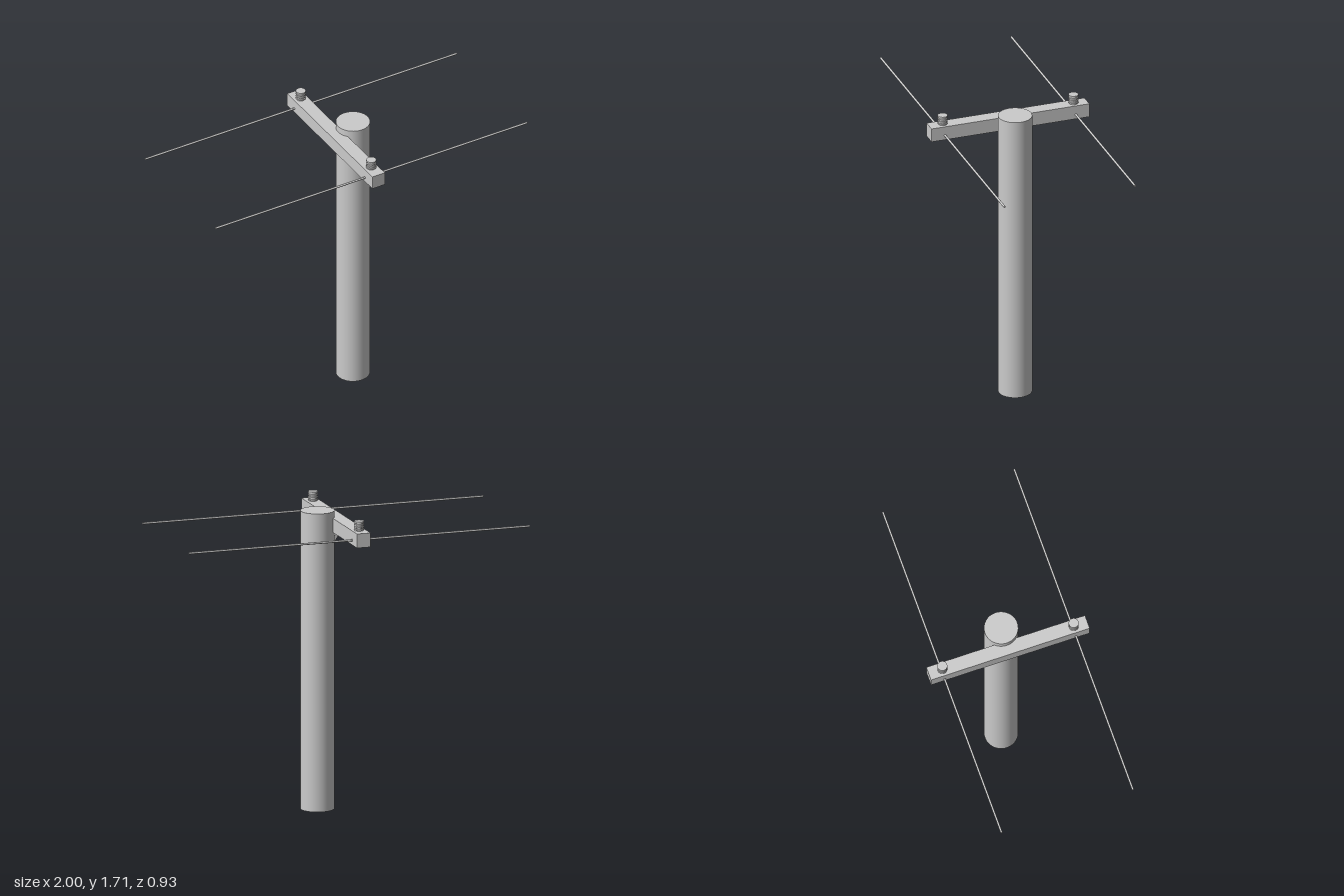
import * as THREE from 'three';

export function createModel() {
  const model = new THREE.Group();
  const material = new THREE.MeshStandardMaterial({ color: 0xcccccc });

  const add = (name, geometry, x, y, z) => {
    const mesh = new THREE.Mesh(geometry, material);
    mesh.name = name;
    mesh.position.set(x, y, z);
    model.add(mesh);
    return mesh;
  };

  // Upright pole, standing beside the arm
  add('pole', new THREE.CylinderGeometry(0.095, 0.095, 1.695, 48), 0.11, 0.8475, -0.002);

  // Horizontal crossarm
  add('crossarm', new THREE.BoxGeometry(0.08, 0.08, 0.93), 0, 1.616, 0);

  // Diagonal strut from the underside of the arm into the pole
  const strut = new THREE.Shape([
    new THREE.Vector2(-0.034, 1.58),
    new THREE.Vector2(0.03, 1.488),
    new THREE.Vector2(0.03, 1.522),
    new THREE.Vector2(-0.012, 1.58),
  ]);
  const strutGeometry = new THREE.ExtrudeGeometry(strut, { depth: 0.03, bevelEnabled: false });
  add('strut', strutGeometry, 0, 0, -0.015);

  // Ribbed insulator profile, each rib a short bulge
  const ribs = 4, bottom = 1.654, ribHeight = 0.014;
  const profile = [new THREE.Vector2(0, bottom)];
  for (let i = 0; i < ribs; i++) {
    const y = bottom + i * ribHeight;
    profile.push(
      new THREE.Vector2(0.024, y),
      new THREE.Vector2(0.024, y + 0.004),
      new THREE.Vector2(0.028, y + 0.006),
      new THREE.Vector2(0.028, y + 0.012),
      new THREE.Vector2(i < ribs - 1 ? 0.024 : 0.028, y + ribHeight)
    );
  }
  profile.push(new THREE.Vector2(0, bottom + ribs * ribHeight));
  const insulator = new THREE.LatheGeometry(profile, 24).toNonIndexed();
  insulator.computeVertexNormals();

  // An insulator and a wire at each end of the arm
  for (const z of [-0.385, 0.385]) {
    add('insulator', insulator, 0, 0, z);
    const wire = add('wire', new THREE.CylinderGeometry(0.006, 0.006, 2, 12), 0, 1.603, z);
    wire.rotation.z = Math.PI / 2;
  }

  return model;
}
